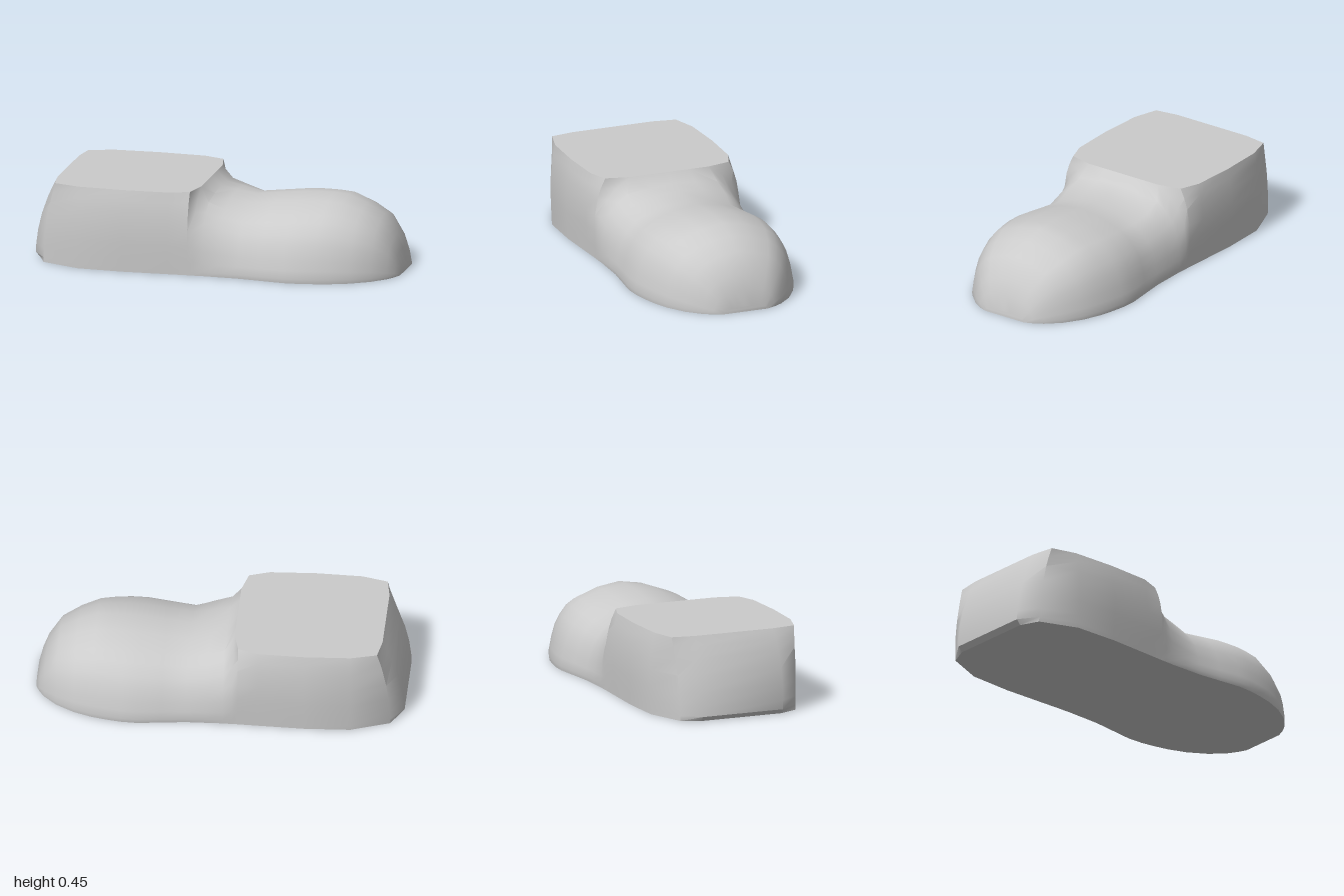
import * as THREE from 'three';
import { toCreasedNormals } from 'three/addons/utils/BufferGeometryUtils.js';

// Cross-sections from heel to toe:
// [x at base, x at top, half width, half width of top opening, height, heel blend]
const SECTIONS = [
  [-1, -0.88, 0.24, 0.23, 0.45, 1],
  [-0.93, -0.86, 0.345, 0.36, 0.45, 1],
  [-0.72, -0.72, 0.43, 0.4, 0.45, 1],
  [-0.47, -0.47, 0.44, 0.41, 0.45, 1],
  [-0.22, -0.22, 0.43, 0.4, 0.45, 1],
  [-0.11, -0.11, 0.425, 0.36, 0.45, 1],
  [-0.08, -0.08, 0.425, 0.23, 0.45, 1],
  [-0.03, -0.03, 0.42, 0.27, 0.4, 0.6],
  [0.06, 0.06, 0.42, 0.3, 0.385, 0.3],
  [0.17, 0.17, 0.42, 0.3, 0.37, 0],
  [0.3, 0.3, 0.435, 0.3, 0.385, 0],
  [0.43, 0.43, 0.45, 0.3, 0.4, 0],
  [0.52, 0.52, 0.445, 0.3, 0.405, 0],
  [0.6, 0.6, 0.43, 0.3, 0.405, 0],
  [0.68, 0.68, 0.41, 0.3, 0.4, 0],
  [0.78, 0.78, 0.37, 0.3, 0.36, 0],
  [0.88, 0.88, 0.305, 0.3, 0.305, 0],
  [0.95, 0.95, 0.23, 0.2, 0.2, 0],
  [0.98, 0.98, 0.18, 0.1, 0.12, 0],
  [1, 1, 0.13, 0.1, 0.03, 0],
];

// Half profiles from the sole edge up to the centre line
const HEEL_Y = [0, 0.06, 0.17, 0.35, 0.55, 0.75, 0.88, 1, 1, 1];
const TOP_Z = [1, 0.5, 0]; // across the flat top
const TOE = [[0.99, 0], [1, 0.06], [0.98, 0.17], [0.955, 0.3], [0.9, 0.49],
  [0.83, 0.62], [0.72, 0.76], [0.6, 0.84], [0.31, 0.95], [0, 1]];
const HALF = TOE.length - 1;
const RING = HALF * 2 + 1;

function sectionPoint([xBase, xTop, w, wTop, h, heel], j) {
  const side = j > HALF ? -1 : 1;
  const k = j > HALF ? RING - 1 - j : j;
  const s = HEEL_Y[k];
  const sideScale = 0.975 + 0.025 * Math.min(1, s * 2);
  const heelZ = k >= 7 ? wTop * TOP_Z[k - 7] : w * sideScale + (wTop - w) * s ** 4;
  const z = THREE.MathUtils.lerp(TOE[k][0] * w, heelZ, heel);
  const y = THREE.MathUtils.lerp(TOE[k][1], s, heel) * h;
  let x = xBase + (xTop - xBase) * s * s;
  if (k === 0) x = Math.max(x, -0.975); // small tuck under the heel
  return [x, y, z * side];
}

function buildShoe() {
  const positions = [];
  const index = [];
  const quad = (a, b, c, d) => index.push(a, b, c, a, c, d);

  for (const section of SECTIONS) {
    for (let j = 0; j < RING; j++) positions.push(...sectionPoint(section, j));
  }

  // Sides, top and sole: the last strip of each ring closes the underside
  const last = SECTIONS.length - 1;
  for (let i = 0; i < last; i++) {
    for (let j = 0; j < RING; j++) {
      const n = (j + 1) % RING;
      quad(i * RING + j, (i + 1) * RING + j, (i + 1) * RING + n, i * RING + n);
    }
  }

  // Closing faces at the heel and the toe tip
  const t = last * RING;
  for (let j = 0; j < HALF; j++) {
    const m = RING - 1 - j;
    if (j < 7) quad(m, j, j + 1, m - 1);
    if (j < HALF - 1) quad(t + j, t + m, t + m - 1, t + j + 1);
    else index.push(t + j, t + m, t + HALF);
  }

  const geometry = new THREE.BufferGeometry();
  geometry.setAttribute('position', new THREE.Float32BufferAttribute(positions, 3));
  geometry.setIndex(index);
  return toCreasedNormals(geometry, 0.74);
}

export function createModel() {
  const group = new THREE.Group();
  group.name = 'shoe';
  const body = new THREE.Mesh(
    buildShoe(),
    new THREE.MeshStandardMaterial({ color: 0xcccccc }),
  );
  body.name = 'shoeBody';
  group.add(body);
  return group;
}
